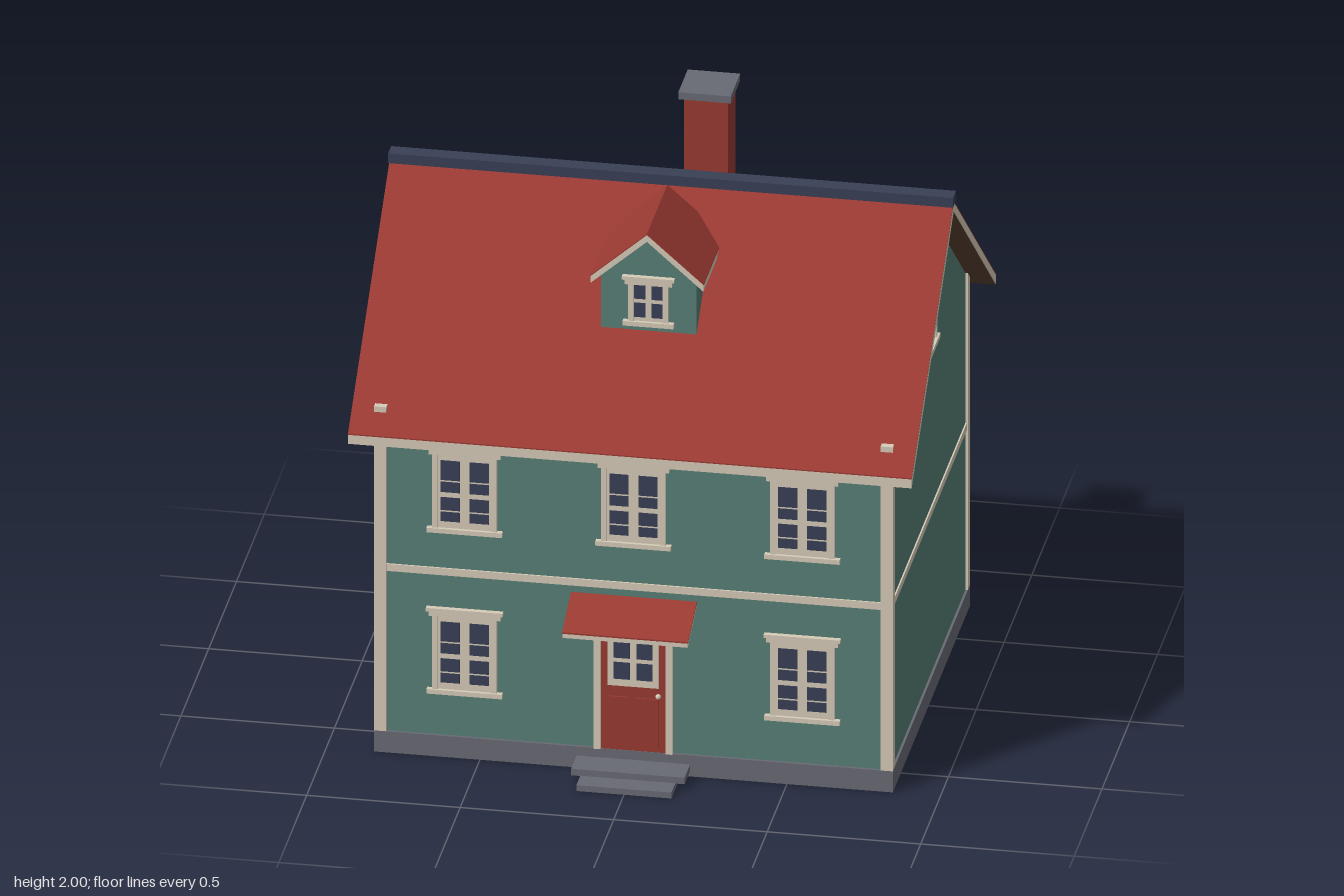
import * as THREE from 'three';

const mat = (name, color) => {
  const m = new THREE.MeshStandardMaterial({ color });
  m.name = name;
  return m;
};

export function createModel() {
  const red = mat('barn red', 0x9a3a32);
  const green = mat('sage green', 0x587f76);
  const cream = mat('cream trim', 0xd6cbb8);
  const navy = mat('dark navy', 0x394056);
  const stone = mat('grey stone', 0x686a74);
  const brown = mat('brown soffit', 0x5b4030);
  const house = new THREE.Group();
  house.name = 'house';

  const group = (name, parent = house) => {
    const g = new THREE.Group();
    g.name = name;
    parent.add(g);
    return g;
  };
  // Box given by its limits on each axis
  const box = (name, m, x0, x1, y0, y1, z0, z1, parent = house) => {
    const mesh = new THREE.Mesh(new THREE.BoxGeometry(x1 - x0, y1 - y0, z1 - z0), m);
    mesh.position.set((x0 + x1) / 2, (y0 + y1) / 2, (z0 + z1) / 2);
    mesh.name = name;
    parent.add(mesh);
    return mesh;
  };
  // Prism from an x-y outline, running from z0 to z1
  const prism = (name, m, pts, z0, z1, parent = house) => {
    const shape = new THREE.Shape(pts.map(([x, y]) => new THREE.Vector2(x, y)));
    const geo = new THREE.ExtrudeGeometry(shape, { depth: z1 - z0, bevelEnabled: false });
    geo.translate(0, 0, z0);
    const mesh = new THREE.Mesh(geo, m);
    mesh.name = name;
    parent.add(mesh);
    return mesh;
  };
  // Roof outline: an upside-down V of vertical thickness t
  const chevron = (half, top, slope, t) => {
    const e = top - half * slope;
    return [[-half, e - t], [0, top - t], [half, e - t], [half, e], [0, top], [-half, e]];
  };

  // Foundation ring, open below, with the floor above it
  const base = group('foundation');
  box('frontPlinth', stone, -0.845, 0.845, 0, 0.075, 0.62, 0.645, base);
  box('backPlinth', stone, -0.845, 0.845, 0, 0.075, -0.745, -0.72, base);
  for (const s of [-1, 1]) {
    box('sidePlinth', stone, s * 0.8325 - 0.0125, s * 0.8325 + 0.0125, 0, 0.075, -0.72, 0.62, base);
  }
  box('floor', stone, -0.82, 0.82, 0.06, 0.075, -0.72, 0.62, base);

  // Walls and main roof run along x: outlines are drawn across the depth, then turned
  const shell = group('mainShell');
  shell.rotation.y = -Math.PI / 2;
  shell.position.z = -0.05;
  const slope = 0.822;
  prism('walls', green, [[-0.685, 0.075], [0.685, 0.075], [0.685, 1.185], [0, 1.748], [-0.685, 1.185]], -0.837, 0.837, shell);
  prism('roofEdge', cream, chevron(0.76, 1.778, slope, 0.032), -0.918, 0.918, shell);
  prism('roofCovering', red, chevron(0.76, 1.782, slope, 0.004), -0.918, 0.918, shell);
  prism('soffit', brown, chevron(0.757, 1.746, slope, 0.003), -0.916, 0.916, shell);
  box('ridgeCap', navy, -0.92, 0.92, 1.77, 1.805, -0.078, -0.024);

  // Corner boards and the band between storeys
  for (const s of [-1, 1]) {
    for (const z of [0.625, -0.725]) {
      box('cornerBoard', cream, s * 0.825 - 0.02, s * 0.825 + 0.02, 0.075, 1.23, z - 0.02, z + 0.02);
    }
    box('sideBand', cream, s * 0.837 - 0.005, s * 0.837 + 0.005, 0.645, 0.67, -0.705, 0.605);
  }
  box('frontBand', cream, -0.805, 0.805, 0.645, 0.67, 0.63, 0.641);
  box('backBand', cream, -0.805, 0.805, 0.645, 0.67, -0.741, -0.73);

  // Window facing +z, its origin at the middle of the sill's underside on the wall
  const makeWindow = (name, w, h, rows, x, y, z, turn) => {
    const g = group(name);
    g.position.set(x, y, z);
    g.rotation.y = turn;
    const k = w / 2;
    box('casing', cream, -k, k, 0.01, h - 0.01, -0.01, 0.007, g);
    box('sill', cream, -k - 0.018, k + 0.018, 0, 0.016, -0.01, 0.018, g);
    box('header', cream, -k - 0.012, k + 0.012, h - 0.03, h - 0.012, -0.01, 0.012, g);
    box('headerCap', cream, -k - 0.02, k + 0.02, h - 0.012, h, -0.01, 0.018, g);
    for (const s of [-1, 1]) {
      box('jamb', cream, s * (k - 0.009) - 0.009, s * (k - 0.009) + 0.009, 0.012, h - 0.03, 0, 0.012, g);
      for (const [a, b] of rows) {
        const c = s * w * 0.225, pw = w * 0.15;
        box('pane', navy, c - pw, c + pw, a * h, b * h, 0, 0.009, g);
      }
    }
  };
  const four = [[0.13, 0.24], [0.26, 0.41], [0.47, 0.59], [0.61, 0.84]];
  const two = [[0.17, 0.46], [0.54, 0.83]];
  for (const x of [-0.55, 0, 0.55]) {
    makeWindow('upperFrontWindow', 0.21, 0.305, four, x, 0.8, 0.635, 0);
    makeWindow('upperBackWindow', 0.21, 0.305, four, x, 0.8, -0.735, Math.PI);
    makeWindow('lowerBackWindow', 0.21, 0.305, four, x, 0.225, -0.735, Math.PI);
    if (x) makeWindow('lowerFrontWindow', 0.21, 0.305, four, x, 0.225, 0.635, 0);
  }
  for (const s of [-1, 1]) {
    makeWindow('gableWindow', 0.18, 0.26, two, s * 0.837, 1.24, -0.05, s * Math.PI / 2);
  }

  // Dormer
  const dormer = group('dormer');
  prism('dormerWalls', green, [[-0.155, 1.44], [0.155, 1.44], [0.155, 1.64], [0, 1.775], [-0.155, 1.64]], 0.03, 0.367, dormer);
  prism('dormerRoofEdge', cream, chevron(0.184, 1.797, 0.88, 0.024), 0.034, 0.402, dormer);
  prism('dormerRoof', red, chevron(0.185, 1.801, 0.88, 0.004), 0.034, 0.402, dormer);
  makeWindow('dormerWindow', 0.13, 0.175, two, 0, 1.46, 0.367, 0);

  // Chimney
  box('chimney', red, 0.003, 0.146, 1.35, 1.98, -0.388, -0.25);
  box('chimneyCap', stone, -0.013, 0.158, 1.975, 2, -0.405, -0.235);

  // Front door with its surround
  const door = group('frontDoor');
  box('doorLeaf', red, -0.107, 0.107, 0.075, 0.505, 0.63, 0.643, door);
  for (const s of [-1, 1]) {
    box('doorJamb', cream, s * 0.117 - 0.011, s * 0.117 + 0.011, 0.075, 0.505, 0.63, 0.652, door);
    box('doorPanel', red, s * 0.047 - 0.036, s * 0.047 + 0.036, 0.095, 0.265, 0.643, 0.648, door);
    for (const y of [0.36, 0.435]) {
      box('doorPane', navy, s * 0.037 - 0.026, s * 0.037 + 0.026, y - 0.03, y + 0.03, 0.645, 0.651, door);
    }
  }
  box('doorWindowFrame', cream, -0.083, 0.083, 0.305, 0.488, 0.64, 0.649, door);
  box('doorHeader', cream, -0.14, 0.14, 0.505, 0.525, 0.63, 0.655, door);
  const knob = new THREE.Mesh(new THREE.SphereGeometry(0.009, 12, 8), cream);
  knob.name = 'doorKnob';
  knob.position.set(0.082, 0.277, 0.65);
  door.add(knob);

  // Sloping canopy on brackets
  const canopy = group('doorCanopy');
  canopy.rotation.y = -Math.PI / 2;
  prism('canopyBoard', cream, [[0.632, 0.6], [0.795, 0.532], [0.795, 0.547], [0.632, 0.616]], -0.204, 0.204, canopy);
  prism('canopyCovering', red, [[0.632, 0.616], [0.796, 0.547], [0.796, 0.552], [0.632, 0.621]], -0.205, 0.205, canopy);
  for (const x of [-0.172, 0.172]) {
    prism('canopyBracket', cream, [[0.632, 0.465], [0.646, 0.465], [0.655, 0.52], [0.72, 0.545], [0.72, 0.562], [0.632, 0.598]], x - 0.008, x + 0.008, canopy);
  }

  // Front steps
  box('upperStep', stone, -0.185, 0.185, 0.02, 0.043, 0.635, 0.745);
  box('lowerStep', stone, -0.155, 0.155, 0, 0.021, 0.635, 0.815);

  return house;
}
